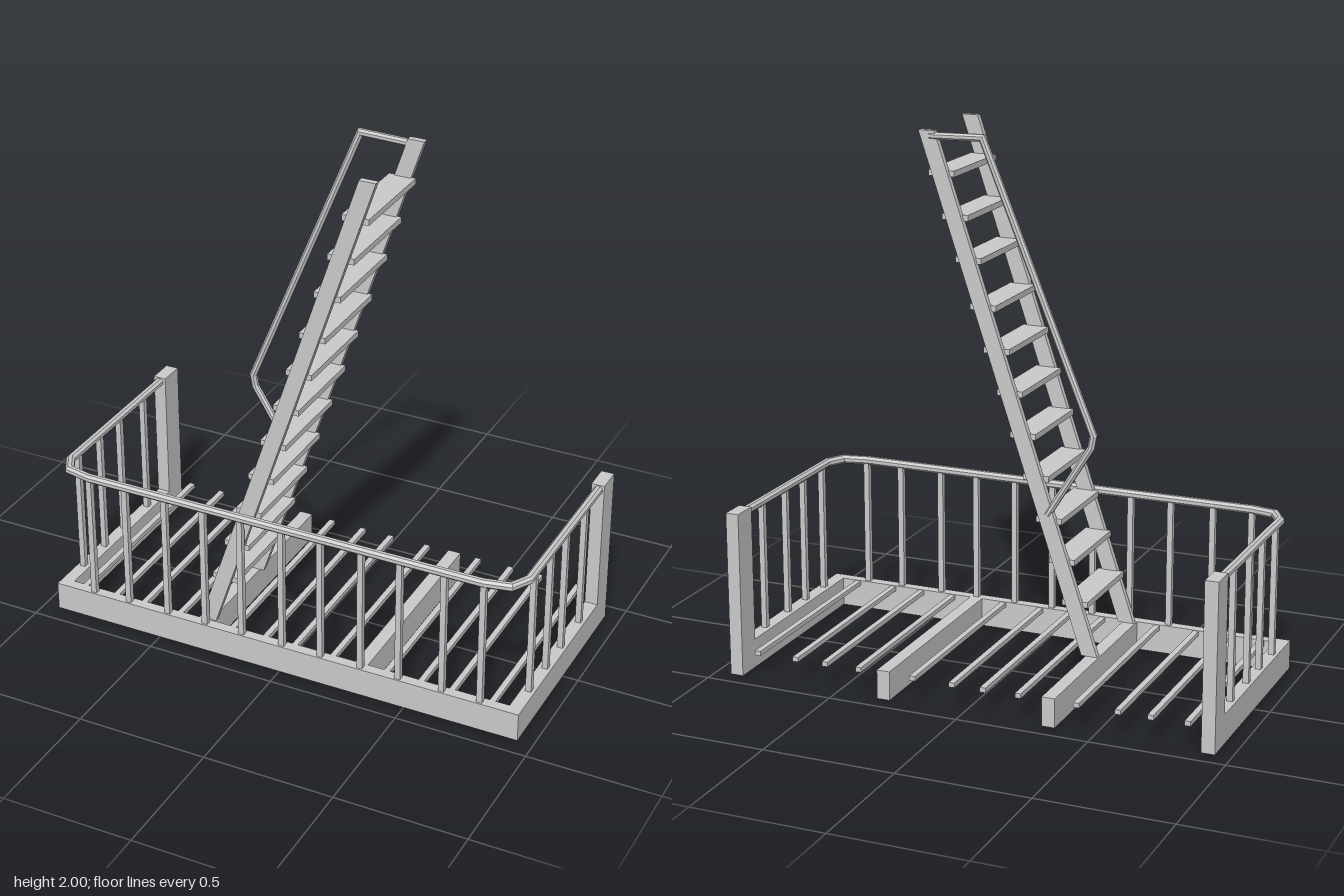
import * as THREE from 'three';

const material = new THREE.MeshStandardMaterial({ color: 0xcccccc, flatShading: true });

export function createModel() {
  const model = new THREE.Group();

  const add = (name, geometry) => {
    const mesh = new THREE.Mesh(geometry, material);
    mesh.name = name;
    model.add(mesh);
    return mesh;
  };

  // Box given by its limits on each axis
  const box = (name, x0, x1, y0, y1, z0, z1) =>
    add(name, new THREE.BoxGeometry(x1 - x0, y1 - y0, z1 - z0))
      .position.set((x0 + x1) / 2, (y0 + y1) / 2, (z0 + z1) / 2);

  // Eight-sided bar with mitred corners along a path lying in a plane
  const bar = (name, path, normal, radius) => {
    const sides = 8;
    const points = path.map((p) => new THREE.Vector3(...p));
    const n = new THREE.Vector3(...normal);
    const last = points.length - 1;
    const positions = [];
    const index = [];
    points.forEach((p, i) => {
      const into = points[Math.max(i, 1)].clone().sub(points[Math.max(i, 1) - 1]).normalize();
      const k = Math.min(i, last - 1);
      const out = points[k + 1].clone().sub(points[k]).normalize();
      const t = into.clone().add(out).normalize();
      const m = n.clone().cross(t).multiplyScalar(1 / t.dot(out));
      for (let j = 0; j < sides; j++) {
        const a = ((j + 0.5) / sides) * Math.PI * 2;
        positions.push(...p.clone()
          .addScaledVector(m, radius * Math.cos(a))
          .addScaledVector(n, radius * Math.sin(a)).toArray());
      }
    });
    for (let i = 0; i < last; i++) {
      for (let j = 0; j < sides; j++) {
        const a = i * sides + j;
        const b = i * sides + ((j + 1) % sides);
        index.push(a, b, b + sides, a, b + sides, a + sides);
      }
    }
    const end = last * sides;
    for (let j = 1; j < sides - 1; j++) {
      index.push(0, j + 1, j, end, end + j, end + j + 1);
    }
    const geometry = new THREE.BufferGeometry();
    geometry.setAttribute('position', new THREE.Float32BufferAttribute(positions, 3));
    geometry.setIndex(index);
    const flat = geometry.toNonIndexed();
    flat.computeVertexNormals();
    return add(name, flat);
  };

  // Platform frame and inner joists
  const deck = 0.11;
  box('frontBeam', -0.94, 0.94, 0, deck, 0.39, 0.43);
  box('leftBeam', 0.89, 0.94, 0, deck, -0.335, 0.39);
  box('rightBeam', -0.94, -0.89, 0, deck, -0.335, 0.39);
  box('rightJoist', -0.35, -0.3, 0, deck, -0.435, 0.39);
  box('leftJoist', 0.29, 0.34, 0, deck, -0.435, 0.39);

  // Thin floor slats
  for (const x of [-0.84, -0.705, -0.585, -0.43, -0.21, -0.075, 0.045, 0.2, 0.415, 0.55, 0.67, 0.825]) {
    box('floorSlat', x - 0.011, x + 0.011, 0.09, 0.108, -0.435, 0.39);
  }

  // Rear posts
  box('leftPost', 0.89, 0.94, 0, 0.625, -0.435, -0.335);
  box('rightPost', -0.94, -0.89, 0, 0.625, -0.435, -0.335);

  // Guard rail running round three sides
  const railY = 0.605;
  const half = [[0.917, -0.335], [0.917, 0.325], [0.88, 0.393], [0.785, 0.413]];
  bar('guardRail', [
    ...half.map(([x, z]) => [-x, railY, z]),
    ...half.slice().reverse().map(([x, z]) => [x, railY, z]),
  ], [0, 1, 0], 0.017);

  // Balusters
  const baluster = (x, z) => box('baluster', x - 0.011, x + 0.011, deck, railY, z - 0.011, z + 0.011);
  for (const x of [-0.785, -0.635, -0.47, -0.312, -0.16, 0.005, 0.16, 0.32, 0.47, 0.64, 0.787]) {
    baluster(x, 0.412);
  }
  for (const z of [0.275, 0.12, -0.025, -0.205]) {
    baluster(0.917, z);
    baluster(-0.917, z);
  }

  // Sloping stringers
  const side = new THREE.Shape([
    new THREE.Vector2(-0.345, deck), new THREE.Vector2(-0.283, deck),
    new THREE.Vector2(0.352, 2), new THREE.Vector2(0.29, 2),
  ]);
  for (const z of [-0.015, 0.364]) {
    add('stringer', new THREE.ExtrudeGeometry(side, { depth: 0.023, bevelEnabled: false })).position.z = z;
  }

  // Treads
  for (const y of [0.3, 0.455, 0.605, 0.76, 0.912, 1.065, 1.217, 1.372, 1.54, 1.692, 1.847]) {
    const x = -0.314 + (y - deck) * 0.336;
    box('tread', x - 0.05, x + 0.05, y - 0.011, y + 0.011, 0, 0.37);
  }

  // Handrail beside the rear stringer
  bar('handrail', [
    [-0.145, 0.63, -0.006], [-0.312, 0.9, -0.006], [-0.32, 0.945, -0.006],
    [0.108, 1.985, -0.006], [0.31, 1.98, -0.006],
  ], [0, 0, 1], 0.014);

  return model;
}
